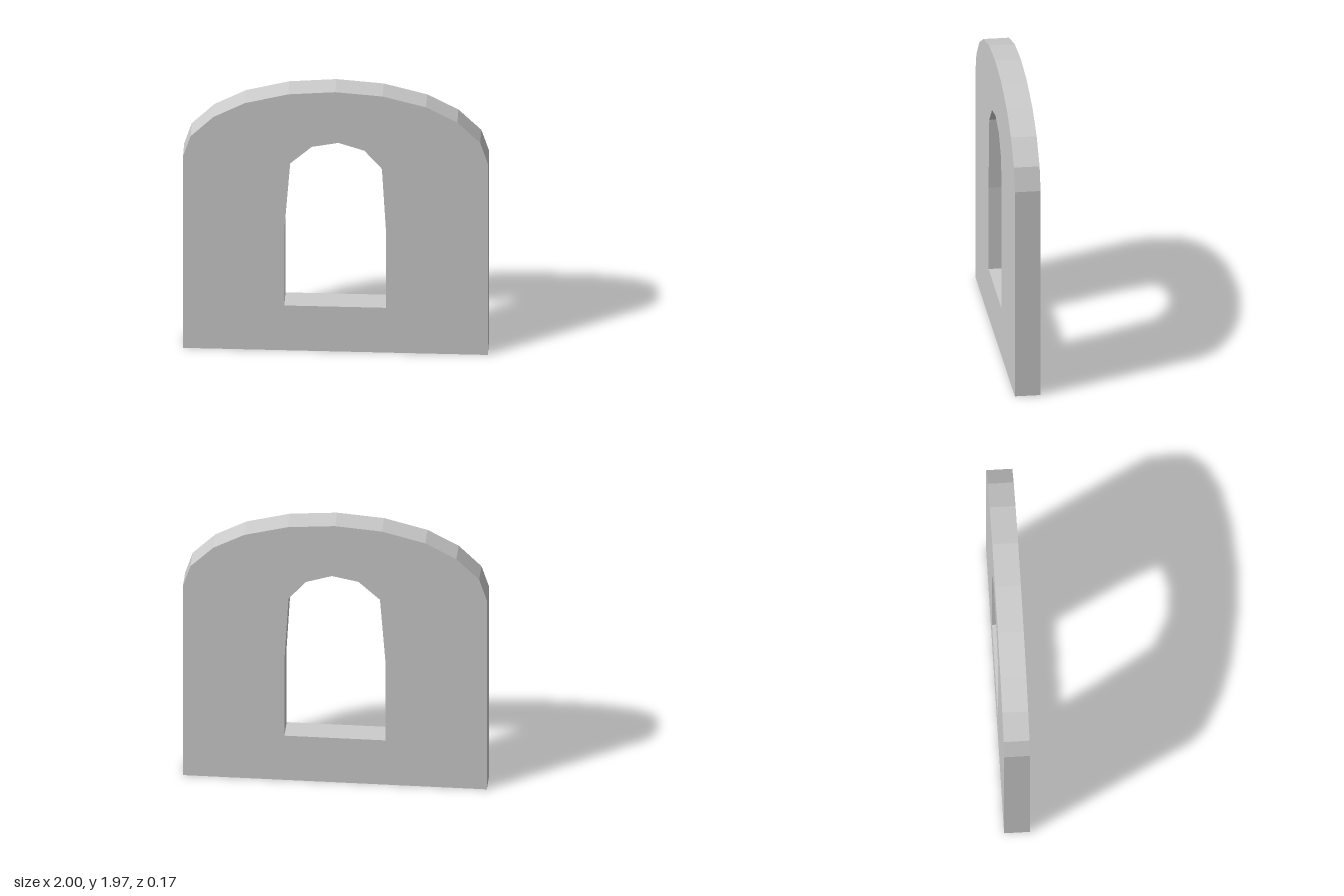
import * as THREE from 'three';

const DEPTH = 0.17;
const toPoints = (pairs) => pairs.map(([x, y]) => new THREE.Vector2(x, y));

export function createModel() {
  const group = new THREE.Group();
  group.name = 'archedWall';

  // Outer outline: straight sides under a shallow faceted arch, mirrored about x = 0
  const rightHalf = [[1, 0], [1, 1.455], [0.95, 1.61], [0.8, 1.76], [0.595, 1.87], [0.31, 1.945]];
  const leftHalf = rightHalf.map(([x, y]) => [-x, y]).reverse();
  const outline = new THREE.Shape(toPoints([...rightHalf, [0, 1.97], ...leftHalf]));

  // Window opening: slightly uneven, narrowing towards its rounded head
  outline.holes.push(new THREE.Path(toPoints([
    [-0.335, 0.34], [-0.335, 0.92], [-0.297, 1.42], [-0.155, 1.55], [0.02, 1.585],
    [0.19, 1.53], [0.305, 1.395], [0.332, 0.92], [0.332, 0.34],
  ])));

  // Flat slab with crisp edges
  const geometry = new THREE.ExtrudeGeometry(outline, { depth: DEPTH, bevelEnabled: false });
  geometry.translate(0, 0, -DEPTH / 2);
  const wall = new THREE.Mesh(
    geometry,
    new THREE.MeshStandardMaterial({ color: 0xcccccc, flatShading: true }),
  );
  wall.name = 'wallWithWindow';
  group.add(wall);

  return group;
}
